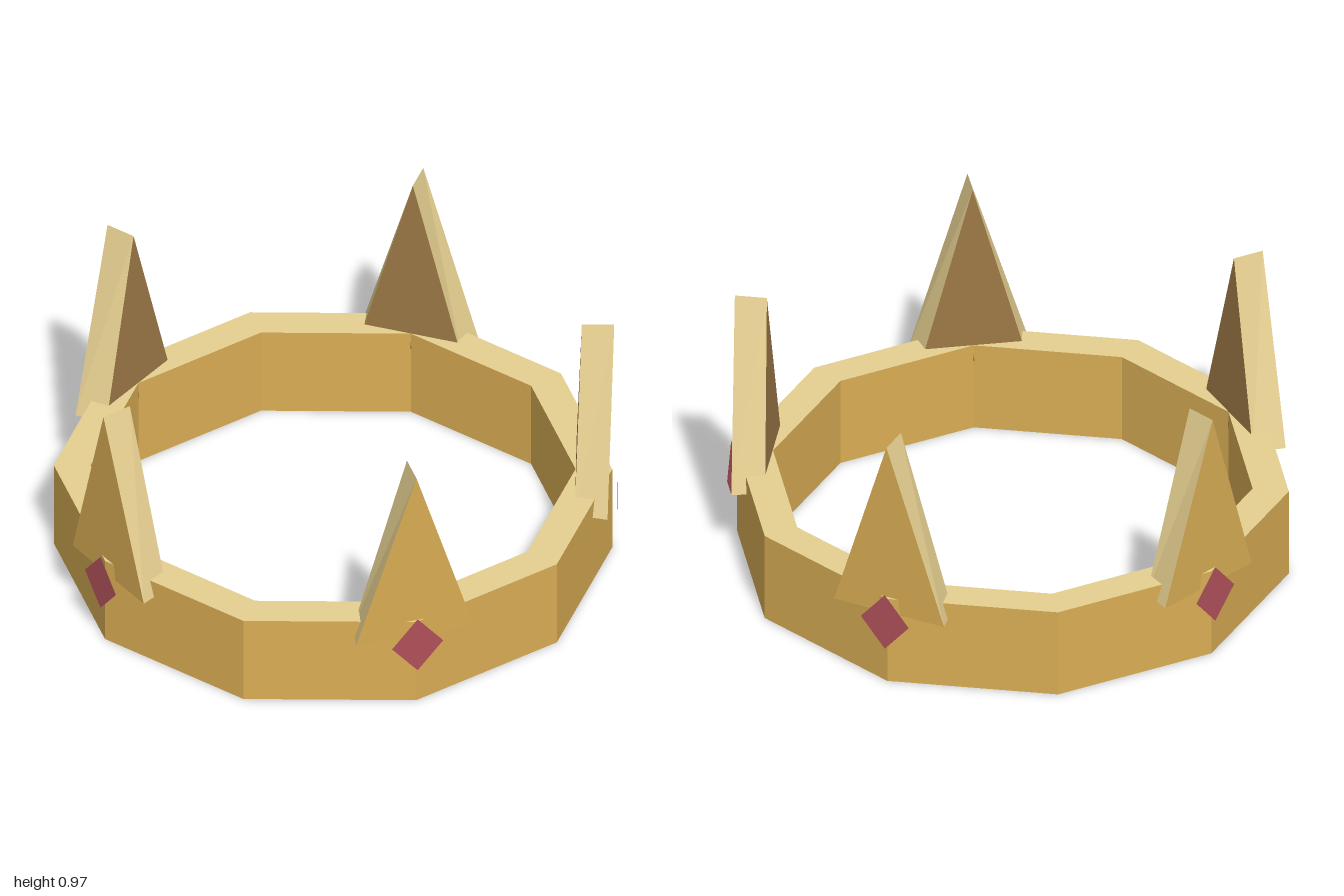
import * as THREE from 'three';

const gold = new THREE.MeshStandardMaterial({ name: 'gold', color: 0xd9ad54 });
const paleGold = new THREE.MeshStandardMaterial({ name: 'pale gold edge', color: 0xe5cf90 });
const bronze = new THREE.MeshStandardMaterial({ name: 'bronze', color: 0x9c7846 });
const ruby = new THREE.MeshStandardMaterial({ name: 'ruby', color: 0xaf5059, side: THREE.DoubleSide });

const SIDES = 10, OUTER = 0.99, INNER = 0.86, BAND_HEIGHT = 0.34;

// Corner points of a regular polygon with one corner pointing forward
function polygon(radius) {
  return Array.from({ length: SIDES }, (_, i) => {
    const a = (i / SIDES) * Math.PI * 2;
    return new THREE.Vector2(radius * Math.sin(a), -radius * Math.cos(a));
  });
}

// Flat-shaded triangles, one material group per face list
function facets(points, faceGroups) {
  const geometry = new THREE.BufferGeometry();
  const positions = [];
  faceGroups.forEach((faces, material) => {
    const start = positions.length / 3;
    faces.flat().forEach((i) => positions.push(...points[i]));
    geometry.addGroup(start, positions.length / 3 - start, material);
  });
  geometry.setAttribute('position', new THREE.Float32BufferAttribute(positions, 3));
  geometry.computeVertexNormals();
  return geometry;
}

// Ten-sided band: gold walls, paler rims
function makeBand() {
  const shape = new THREE.Shape(polygon(OUTER));
  shape.holes.push(new THREE.Path(polygon(INNER)));
  const geometry = new THREE.ExtrudeGeometry(shape, { depth: BAND_HEIGHT, bevelEnabled: false });
  geometry.rotateX(-Math.PI / 2);
  const band = new THREE.Mesh(geometry, [paleGold, gold]);
  band.name = 'band';
  return band;
}

// Triangular spike facing +z, leaning outward and narrowing toward the inside
function spikeGeometry() {
  const base = 0.275, tip = 0.97;
  const points = [
    [-0.218, base, 0.976], [0.218, base, 0.976], [0, tip, 0.997],
    [-0.192, base, 0.859], [0.192, base, 0.859], [0, tip, 0.882],
  ];
  return facets(points, [
    [[0, 1, 2]],
    [[1, 4, 5], [1, 5, 2], [3, 0, 2], [3, 2, 5], [0, 3, 4], [0, 4, 1]],
    [[4, 3, 5]],
  ]);
}

// Flat diamond-shaped gem in front of the spike's foot
function gemGeometry() {
  const w = 0.095, h = 0.111;
  const shape = new THREE.Shape([
    new THREE.Vector2(0, -h), new THREE.Vector2(w, 0),
    new THREE.Vector2(0, h), new THREE.Vector2(-w, 0),
  ]);
  return new THREE.ShapeGeometry(shape).translate(0, 0.255, 1.01);
}

export function createModel() {
  const crown = new THREE.Group();
  crown.name = 'crown';
  crown.add(makeBand());

  // Five spikes with gems, on every other corner of the band
  const spikeGeo = spikeGeometry(), gemGeo = gemGeometry();
  for (let i = 0; i < 5; i++) {
    const point = new THREE.Group();
    point.name = `crownPoint${i + 1}`;
    const spike = new THREE.Mesh(spikeGeo, [gold, paleGold, bronze]);
    spike.name = 'spike';
    const gem = new THREE.Mesh(gemGeo, ruby);
    gem.name = 'gem';
    point.add(spike, gem);
    point.rotation.y = ((2 * i + 1) / SIDES) * Math.PI * 2;
    crown.add(point);
  }

  crown.position.z = 0.01;
  const model = new THREE.Group();
  model.add(crown);
  return model;
}
